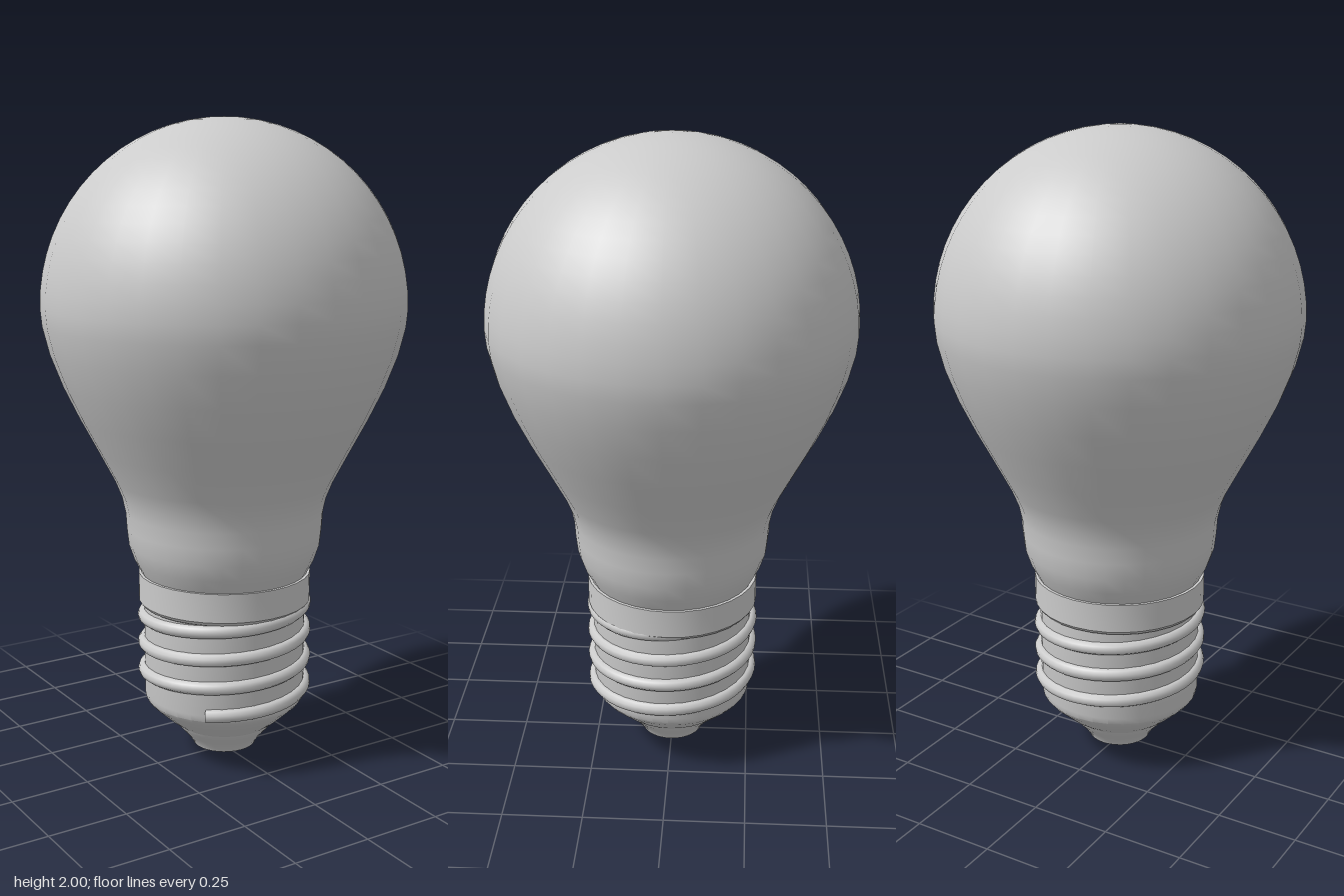
import * as THREE from 'three';
import { toCreasedNormals } from 'three/addons/utils/BufferGeometryUtils.js';

const SEGMENTS = 32;
const material = new THREE.MeshStandardMaterial({ color: 0xcccccc, side: THREE.DoubleSide });

function addMesh(group, name, geometry) {
  const mesh = new THREE.Mesh(geometry, material);
  mesh.name = name;
  group.add(mesh);
}

// Turned part from [radius, height] pairs, bottom to top, with sharp edges kept
function turned(points, crease = 0.5) {
  const profile = points.map(([r, y]) => new THREE.Vector2(r, y));
  return toCreasedNormals(new THREE.LatheGeometry(profile, SEGMENTS), crease);
}

// Glass: a swelling neck that flows into a spherical dome
function glassGeometry() {
  const neck = [
    [0.255, 0.585], [0.264, 0.605], [0.285, 0.645], [0.302, 0.695], [0.308, 0.75], [0.311, 0.8],
    [0.322, 0.85], [0.342, 0.9], [0.394, 1.0], [0.447, 1.1], [0.495, 1.2], [0.533, 1.3], [0.554, 1.385],
  ].map(([r, y]) => new THREE.Vector2(r, y));
  const dome = [];
  for (let i = 0; i <= 16; i++) {
    const a = (i / 16) * Math.PI / 2;
    dome.push(new THREE.Vector2(i === 16 ? 0 : 0.559 * Math.cos(a), 1.44 + 0.56 * Math.sin(a)));
  }
  return new THREE.LatheGeometry([...neck, ...dome], SEGMENTS);
}

// Screw thread: a helix that sinks into the shell at its upper end
class Helix extends THREE.Curve {
  getPoint(t, target = new THREE.Vector3()) {
    const turns = 3.5, pitch = 0.09;
    const angle = -Math.PI / 4 + t * turns * Math.PI * 2; // 0 = front (+z), rising towards +x
    const radius = 0.255 - 0.014 * THREE.MathUtils.smoothstep(t, 0.93, 1);
    return target.set(radius * Math.sin(angle), 0.207 + t * turns * pitch, radius * Math.cos(angle));
  }
}

export function createModel() {
  const bulb = new THREE.Group();
  bulb.name = 'lightBulb';

  addMesh(bulb, 'glass', glassGeometry());

  // Metal screw shell with a wider collar, tapering inwards below
  addMesh(bulb, 'screwShell', turned([
    [0.155, 0.097], [0.185, 0.12], [0.215, 0.147], [0.24, 0.17], [0.252, 0.185], [0.256, 0.205],
    [0.256, 0.497], [0.265, 0.502], [0.272, 0.512], [0.272, 0.602], [0.255, 0.602],
  ]));

  const thread = new THREE.Group();
  thread.name = 'screwThread';
  const helix = new Helix();
  addMesh(thread, 'threadRidge', new THREE.TubeGeometry(helix, 168, 0.021, 10));
  // Flat caps closing the two ends of the ridge
  for (const t of [0, 1]) {
    const cap = new THREE.CircleGeometry(0.021, 10);
    const direction = helix.getTangent(t).multiplyScalar(t ? 1 : -1);
    cap.applyQuaternion(new THREE.Quaternion().setFromUnitVectors(new THREE.Vector3(0, 0, 1), direction));
    const p = helix.getPoint(t);
    cap.translate(p.x, p.y, p.z);
    addMesh(thread, t ? 'upperThreadEnd' : 'lowerThreadEnd', cap);
  }
  bulb.add(thread);

  // Insulating cone under the shell
  addMesh(bulb, 'insulator', turned([
    [0, 0.022], [0.1, 0.022], [0.104, 0.032], [0.125, 0.06], [0.148, 0.085], [0.156, 0.099],
  ]));

  // Foot contact with a shallow dimple
  addMesh(bulb, 'footContact', turned([
    [0, 0.006], [0.038, 0.006], [0.045, 0], [0.055, 0.002], [0.068, 0.011], [0.072, 0.024],
  ]));

  return bulb;
}
